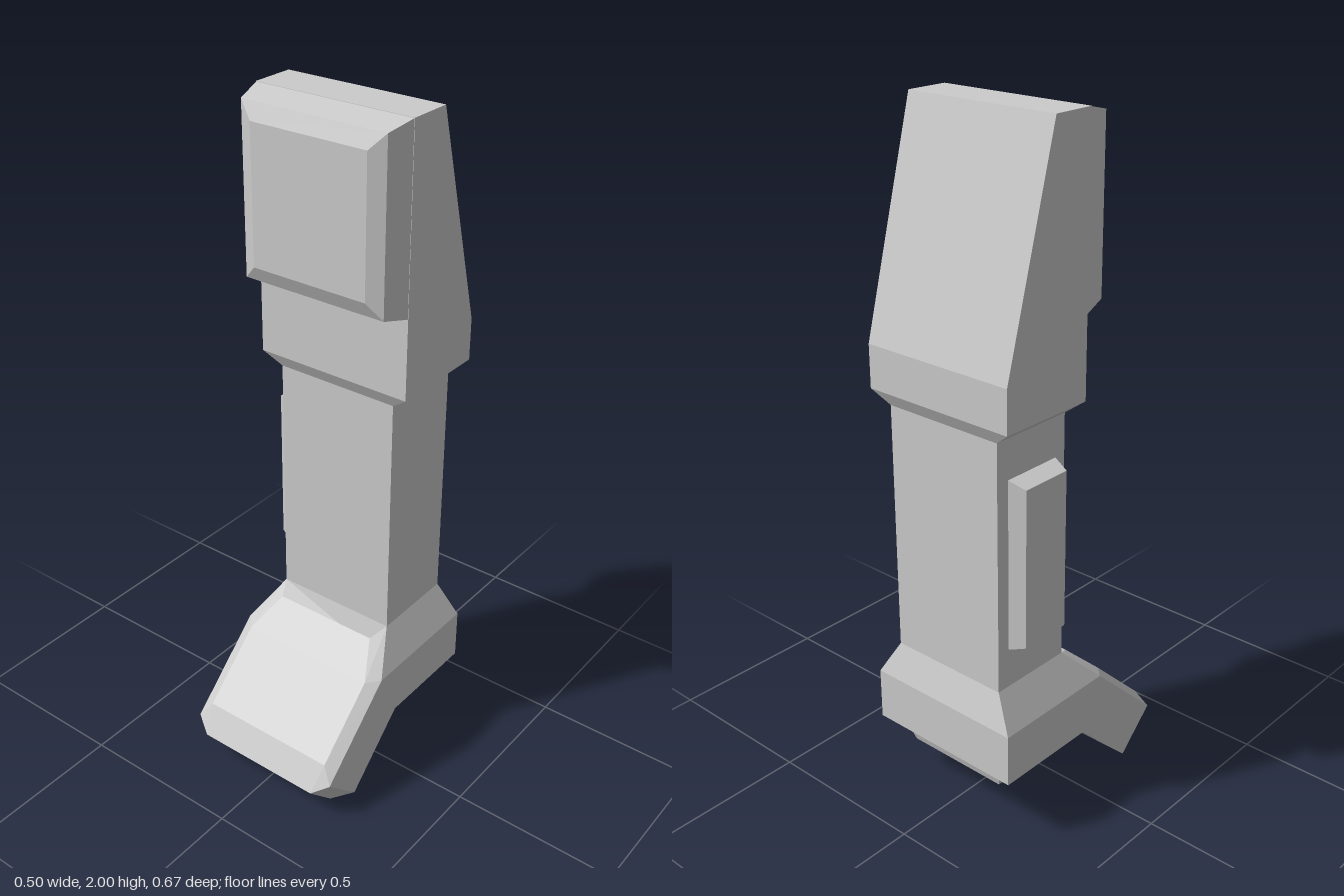
import * as THREE from 'three';

const material = new THREE.MeshStandardMaterial({ color: 0xcccccc, flatShading: true });

// Skin a list of rings; each ring runs counter-clockwise seen from the last ring's end.
function loft(name, rings) {
  const pos = [];
  const tri = (...pts) => pts.forEach((p) => pos.push(...p));
  const n = rings[0].length;
  for (let i = 0; i < rings.length - 1; i++) {
    for (let j = 0; j < n; j++) {
      const k = (j + 1) % n;
      const a = rings[i][j], b = rings[i][k], c = rings[i + 1][k], d = rings[i + 1][j];
      // mirror the diagonal on the second half so both sides match
      if (j < n / 2) { tri(a, b, c); tri(a, c, d); }
      else { tri(a, b, d); tri(b, c, d); }
    }
  }
  const first = rings[0], last = rings[rings.length - 1];
  for (let j = 1; j < n - 1; j++) {
    tri(first[0], first[j + 1], first[j]);
    tri(last[0], last[j], last[j + 1]);
  }
  const geometry = new THREE.BufferGeometry();
  geometry.setAttribute('position', new THREE.Float32BufferAttribute(pos, 3));
  geometry.computeVertexNormals();
  const mesh = new THREE.Mesh(geometry, material);
  mesh.name = name;
  return mesh;
}

// Rectangular rings stacked along y, z or -x
const ringY = (y, w, back, front) => [[w, y, front], [w, y, back], [-w, y, back], [-w, y, front]];
const ringZ = (z, w, low, high) => [[w, low, z], [w, high, z], [-w, high, z], [-w, low, z]];
const ringX = (x, low, high, back, front) => [[x, low, front], [x, high, front], [x, high, back], [x, low, back]];

// Foot section: bottom, side edge and top edge as [halfWidth, y, z], mirrored in x
const footRing = (...half) => [...half, ...half.map(([x, y, z]) => [-x, y, z]).reverse()];

export function createModel() {
  const group = new THREE.Group();
  group.name = 'handheldDevice';

  // Straight grip
  group.add(loft('shaft', [ringY(0.45, 0.19, -0.305, -0.04), ringY(1.22, 0.19, -0.305, -0.04)]));

  // Head with sloping back and bevelled underside
  group.add(loft('head', [
    ringY(1.205, 0.19, -0.305, -0.04),
    ringY(1.245, 0.243, -0.325, -0.02),
    ringY(1.37, 0.243, -0.325, -0.02),
    ringY(2.0, 0.243, -0.15, -0.02),
  ]));

  // Raised bevelled panel on the front of the head
  group.add(loft('facePanel', [
    ringZ(-0.025, 0.243, 1.48, 2.0),
    ringZ(0.06, 0.224, 1.5, 1.98),
    ringZ(0.08, 0.18, 1.545, 1.935),
  ]));

  // Raised strip on the right side of the shaft
  group.add(loft('sideGrip', [
    ringX(-0.185, 0.58, 1.09, -0.265, -0.075),
    ringX(-0.24, 0.6, 1.07, -0.25, -0.09),
  ]));

  // Base block flaring out from the shaft
  group.add(loft('base', [
    ringY(0.203, 0.25, -0.335, -0.01),
    ringY(0.36, 0.25, -0.335, -0.01),
    ringY(0.465, 0.19, -0.305, -0.04),
  ]));

  // Tapered pad under the base
  group.add(loft('bottomPad', [
    ringY(0.13, 0.165, -0.28, -0.07),
    ringY(0.21, 0.19, -0.305, -0.045),
  ]));

  // Angled foot with chamfered top and tip
  group.add(loft('foot', [
    footRing([0.25, 0.36, -0.04], [0.19, 0.465, -0.04], [0.165, 0.44, 0.01]),
    footRing([0.25, 0.204, -0.01], [0.25, 0.36, 0.065], [0.215, 0.356, 0.1]),
    footRing([0.25, 0.015, 0.19], [0.25, 0.13, 0.31], [0.215, 0.178, 0.29]),
    footRing([0.2, 0.0, 0.243], [0.2, 0.095, 0.337], [0.2, 0.095, 0.337]),
  ]));

  return group;
}
